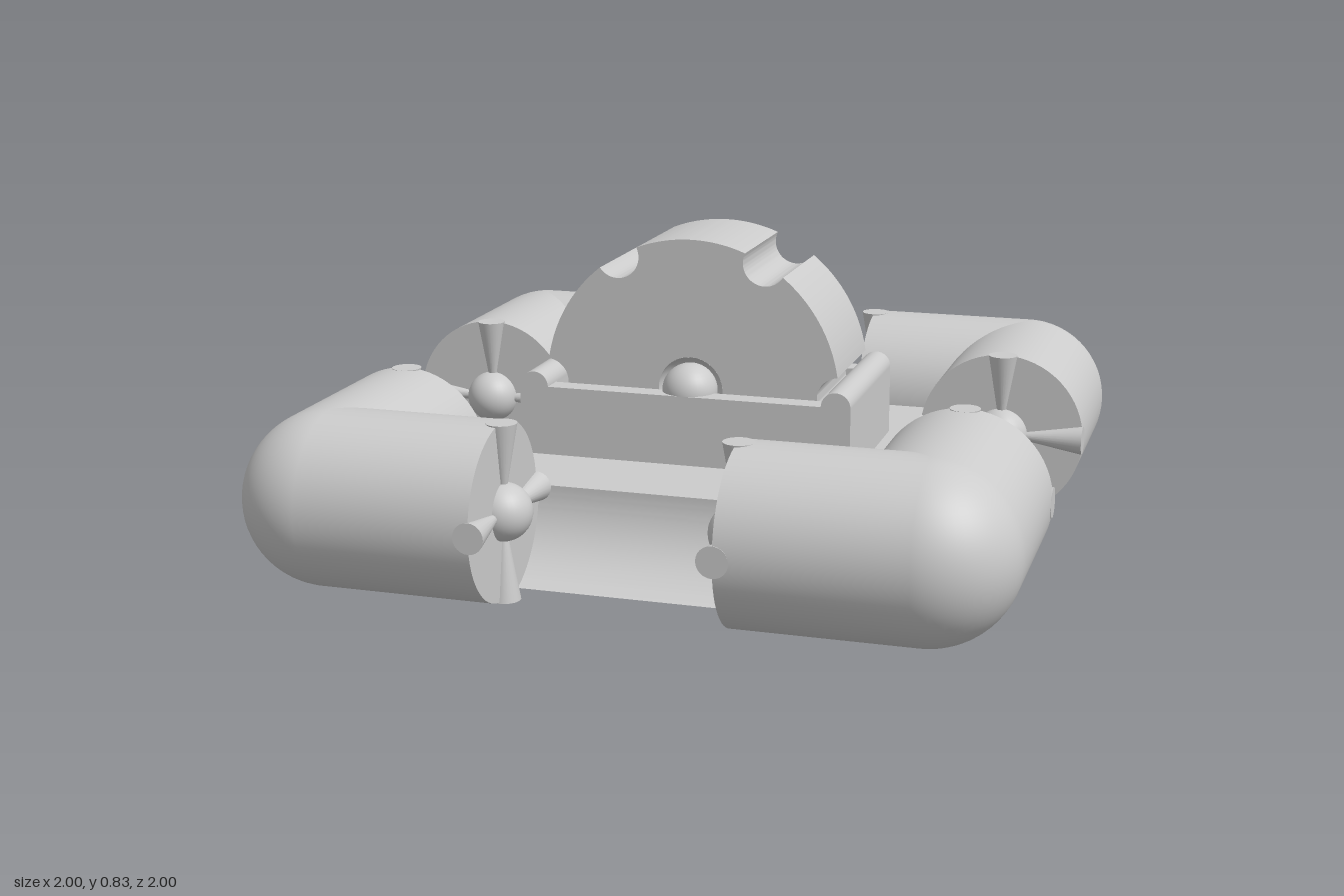
import * as THREE from 'three';
import { toCreasedNormals } from 'three/addons/utils/BufferGeometryUtils.js';

const R = 0.23;       // pipe radius, also base height
const C = 0.77;       // pipe centre line
const END = 0.305;    // where pipes stop
const AXLE = 0.42;    // wheel centre height
const grey = new THREE.MeshStandardMaterial({ color: 0xcccccc });
const greyDouble = new THREE.MeshStandardMaterial({ color: 0xcccccc, side: THREE.DoubleSide });

function add(parent, name, geometry, x = 0, y = 0, z = 0, material = grey) {
  const mesh = new THREE.Mesh(geometry, material);
  mesh.name = name;
  mesh.position.set(x, y, z);
  parent.add(mesh);
  return mesh;
}

function extrude(shape, depth) {
  const g = new THREE.ExtrudeGeometry(shape, { depth, bevelEnabled: false, curveSegments: 20 });
  return toCreasedNormals(g, 0.5);
}

function rectangle(Type, w, h) {
  return new Type([[-w, -h], [w, -h], [w, h], [-w, h]].map(([x, y]) => new THREE.Vector2(x, y)));
}

// Flat slab with the wheel well cut through it
function slab(w, d, height) {
  const shape = rectangle(THREE.Shape, w, d);
  shape.holes.push(rectangle(THREE.Path, 0.38, 0.19));
  return extrude(shape, height).rotateX(-Math.PI / 2);
}

// Straight pipe along +z from the corner to its coupling face
function pipeArm() {
  const arm = new THREE.Group();
  arm.name = 'pipeArm';
  const length = C - END;
  add(arm, 'pipe', new THREE.CylinderGeometry(R, R, length, 64).rotateX(Math.PI / 2), 0, 0, length / 2);
  add(arm, 'couplingBall', new THREE.SphereGeometry(0.075, 32, 20), 0, 0, length);
  for (let i = 0; i < 4; i++) {
    const spoke = new THREE.ConeGeometry(0.04, R, 24).rotateX(Math.PI).translate(0, R / 2, 0);
    add(arm, 'couplingSpoke', spoke.rotateZ(i * Math.PI / 2), 0, 0, length);
  }
  return arm;
}

// Wheel outline with six round notches
function wheelShape() {
  const radius = 0.41, notch = 0.06;
  const d = 2 * Math.asin(notch / 2 / radius);
  const shape = new THREE.Shape();
  for (let k = 0; k < 6; k++) {
    const a = k * Math.PI / 3, c = a + Math.PI / 3;
    shape.absarc(0, 0, radius, a + d, c - d, false);
    shape.absarc(radius * Math.cos(c), radius * Math.sin(c), notch,
      c - d / 2 - Math.PI / 2, c + d / 2 - 1.5 * Math.PI, true);
  }
  const hub = new THREE.Path();
  hub.absarc(0, 0, 0.09, 0, Math.PI * 2, true);
  shape.holes.push(hub);
  return shape;
}

export function createModel() {
  const model = new THREE.Group();
  model.name = 'connectorBase';

  // Base plate
  add(model, 'basePlate', slab(0.525, 0.525, R));

  // Concave side channels
  const cut = 0.245, drop = Math.asin(R / cut);
  const profile = new THREE.Shape();
  profile.moveTo(0.5, 0);
  profile.lineTo(C - cut * Math.cos(drop), 0);
  profile.absarc(C, R, cut, Math.PI + drop, Math.PI, true);
  profile.lineTo(0.5, R);
  const channel = extrude(profile, END * 2).translate(0, 0, -END);
  for (let i = 0; i < 4; i++) {
    add(model, 'sideChannel', channel).rotation.y = i * Math.PI / 2;
  }

  // Corner elbows with a solid foot beneath each
  for (let i = 0; i < 4; i++) {
    const corner = new THREE.Group();
    corner.name = 'cornerElbow';
    corner.rotation.y = i * Math.PI / 2;
    model.add(corner);
    add(corner, 'elbowBend', new THREE.SphereGeometry(R, 64, 32), C, R, C);
    const side = C - END, mid = (C + END) / 2;
    add(corner, 'cornerFoot', new THREE.BoxGeometry(side, R, side), mid, R / 2, mid);
    for (const turn of [Math.PI, -Math.PI / 2]) {
      const arm = pipeArm();
      arm.position.set(C, R, C);
      arm.rotation.y = turn;
      corner.add(arm);
    }
  }

  // Wheel housing with rounded ridges at both ends
  add(model, 'wheelHousing', slab(0.46, 0.25, AXLE - R), 0, R, 0);
  for (const s of [-1, 1]) {
    const ridge = new THREE.CylinderGeometry(0.04, 0.04, 0.5, 32).rotateX(Math.PI / 2);
    add(model, 'housingRidge', ridge, s * 0.42, AXLE, 0);
  }

  // Notched wheel, dimpled hubs and axle balls
  add(model, 'wheel', extrude(wheelShape(), 0.34), 0, AXLE, -0.17);
  for (const s of [-1, 1]) {
    const dimple = new THREE.SphereGeometry(0.09, 32, 12, 0, Math.PI * 2, 0, Math.PI / 2);
    add(model, 'hubDimple', dimple.rotateX(-s * Math.PI / 2), 0, AXLE, s * 0.17, greyDouble);
    add(model, 'axleBall', new THREE.SphereGeometry(0.075, 32, 20), 0, AXLE, s * 0.175);
  }
  return model;
}
